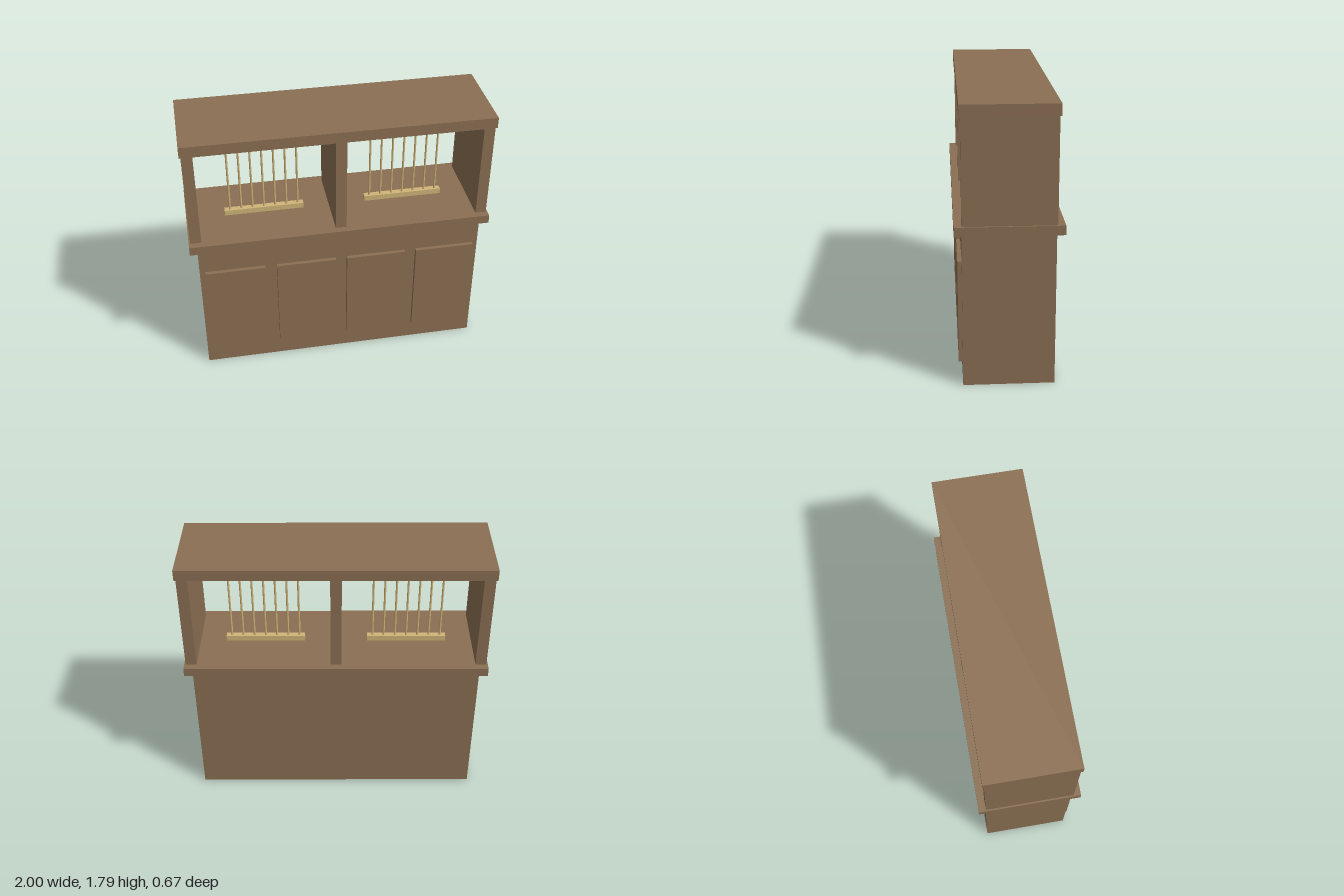
import * as THREE from 'three';

export function createModel() {
  const model = new THREE.Group();
  model.name = 'tellerCounter';

  const wood = new THREE.MeshStandardMaterial({ color: 0x8b6f53 });
  wood.name = 'brown wood';
  const brass = new THREE.MeshStandardMaterial({ color: 0xd0b478 });
  brass.name = 'pale brass';

  // Box given by its centre x, bottom and top, and z range
  function addBox(parent, name, material, x, width, y0, y1, z0, z1) {
    const mesh = new THREE.Mesh(new THREE.BoxGeometry(width, y1 - y0, z1 - z0), material);
    mesh.name = name;
    mesh.position.set(x, (y0 + y1) / 2, (z0 + z1) / 2);
    parent.add(mesh);
    return mesh;
  }

  // Cabinet, worktop and canopy
  addBox(model, 'cabinet', wood, 0, 1.9, 0, 1.0, -0.286, 0.286);
  addBox(model, 'worktop', wood, 0, 2.0, 1.0, 1.06, -0.333, 0.333);
  addBox(model, 'canopy', wood, 0, 2.0, 1.719, 1.793, -0.295, 0.295);

  // Raised panels on the front only
  for (let i = 0; i < 4; i++) {
    addBox(model, 'frontPanel', wood, (i - 1.5) * 0.476, 0.4, 0.146, 0.811, 0.286, 0.312);
  }

  // Upright dividers
  for (const x of [-0.954, 0, 0.954]) {
    addBox(model, 'divider', wood, x, 0.072, 1.06, 1.719, -0.286, 0.286);
  }

  // Barred grilles along the middle of each opening
  const barGeometry = new THREE.CylinderGeometry(0.007, 0.007, 0.53, 8);
  for (const side of [-1, 1]) {
    const grille = new THREE.Group();
    grille.name = side < 0 ? 'rightGrille' : 'leftGrille';
    grille.position.x = side * 0.476;
    addBox(grille, 'bottomRail', brass, 0, 0.532, 1.06, 1.097, -0.02, 0.02);
    addBox(grille, 'topRail', brass, 0, 0.532, 1.622, 1.659, -0.02, 0.02);
    for (let i = 0; i < 7; i++) {
      const bar = new THREE.Mesh(barGeometry, brass);
      bar.name = 'grilleBar';
      bar.position.set((i - 3) * 0.0762, 1.36, 0);
      grille.add(bar);
    }
    model.add(grille);
  }

  return model;
}
